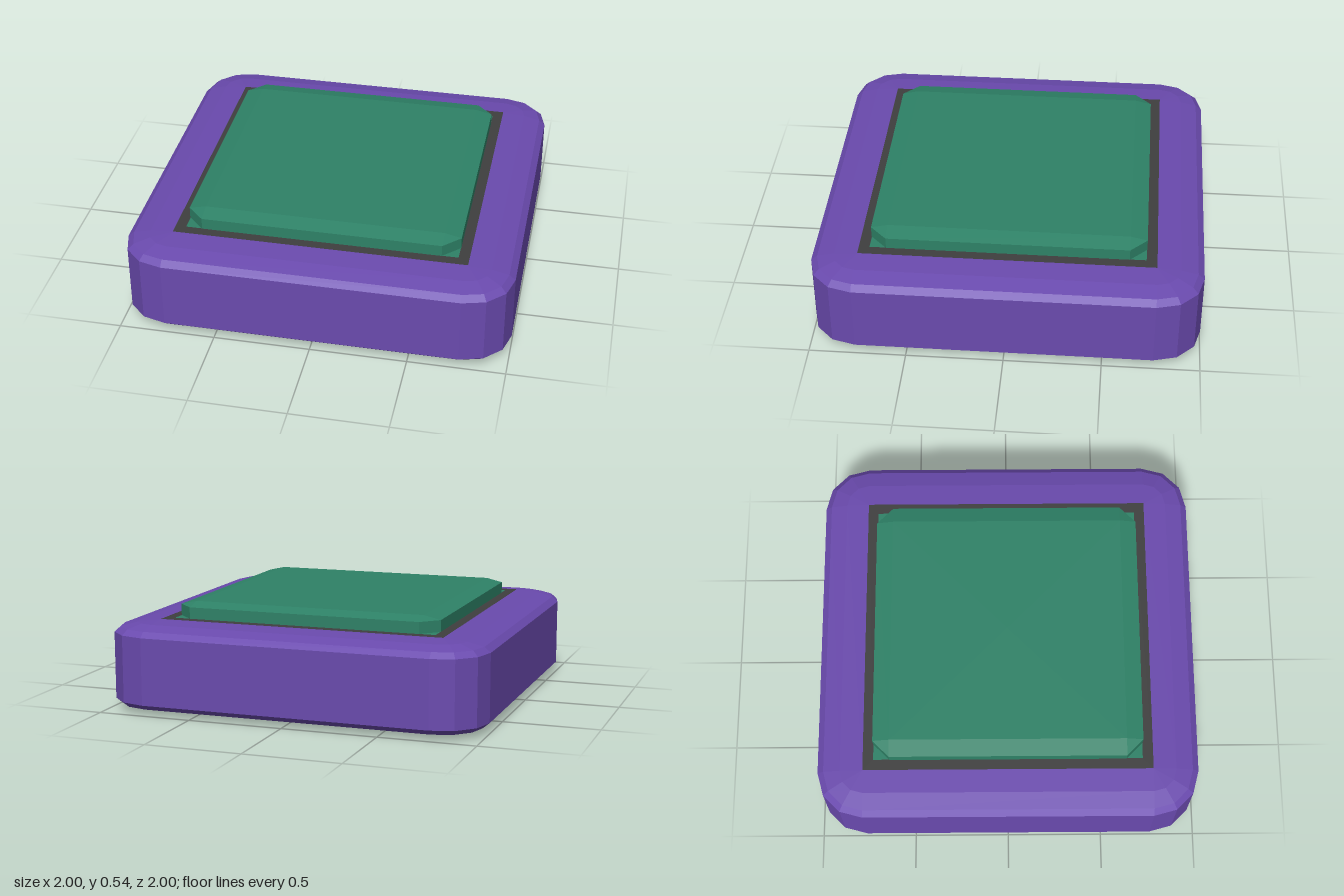
import * as THREE from 'three';

// Closed loft of square rings; each ring is [y, cornerRadius] around corner centres at +-c
function loftSquare(c, steps, rings) {
  const pos = [], idx = [];
  const n = 4 * (steps + 1);
  for (const [y, r] of rings) {
    for (let q = 0; q < 4; q++) {
      const mid = Math.PI / 4 + q * Math.PI / 2;
      const cx = c * Math.sign(Math.cos(mid)), cz = c * Math.sign(Math.sin(mid));
      for (let s = 0; s <= steps; s++) {
        const a = (q + s / steps) * Math.PI / 2;
        pos.push(cx + r * Math.cos(a), y, cz + r * Math.sin(a));
      }
    }
  }
  for (let k = 0; k < rings.length - 1; k++) {
    for (let i = 0; i < n; i++) {
      const a = k * n + i, b = k * n + (i + 1) % n;
      idx.push(a, a + n, b, b, a + n, b + n);
    }
  }
  // Flat caps
  const last = (rings.length - 1) * n, bottom = rings.length * n, top = bottom + 1;
  pos.push(0, rings[0][0], 0, 0, rings[rings.length - 1][0], 0);
  for (let i = 0; i < n; i++) {
    const j = (i + 1) % n;
    idx.push(bottom, i, j, top, last + j, last + i);
  }
  const g = new THREE.BufferGeometry();
  g.setAttribute('position', new THREE.Float32BufferAttribute(pos, 3));
  g.setIndex(idx);
  g.computeVertexNormals();
  return g;
}

export function createModel() {
  const group = new THREE.Group();
  const add = (name, geometry, color) => {
    const mesh = new THREE.Mesh(geometry, new THREE.MeshStandardMaterial({ color, flatShading: true }));
    mesh.name = name;
    group.add(mesh);
    return mesh;
  };
  const purple = 0x6a4aae, green = 0x2e8267, dark = 0x3f3f3f;

  // Base slab with three-step rounded edges
  const rings = [];
  for (const side of [-1, 1]) {
    for (let s = 0; s <= 3; s++) {
      const a = (side < 0 ? s - 3 : s) * Math.PI / 6;
      rings.push([(side < 0 ? 0.055 : 0.405) + 0.055 * Math.sin(a), 0.24 * Math.cos(a)]);
    }
  }
  add('base', loftSquare(0.76, 3, rings), purple);

  // Thin dark border around the button
  const square = (h, Type) => new Type([[-h, -h], [h, -h], [h, h], [-h, h]].map(p => new THREE.Vector2(...p)));
  const border = square(0.76, THREE.Shape);
  border.holes.push(square(0.705, THREE.Path));
  const frame = add('border', new THREE.ShapeGeometry(border), dark);
  frame.rotation.x = -Math.PI / 2;
  frame.position.y = 0.463;

  // Square foot of the button, visible at its clipped corners
  const foot = add('buttonFoot', new THREE.PlaneGeometry(1.41, 1.41), green);
  foot.rotation.x = -Math.PI / 2;
  foot.position.y = 0.463;

  // Raised button with chamfered corners and rim
  add('button', loftSquare(0.62, 1, [[0.455, 0.087], [0.523, 0.087], [0.543, 0]]), green);

  return group;
}
